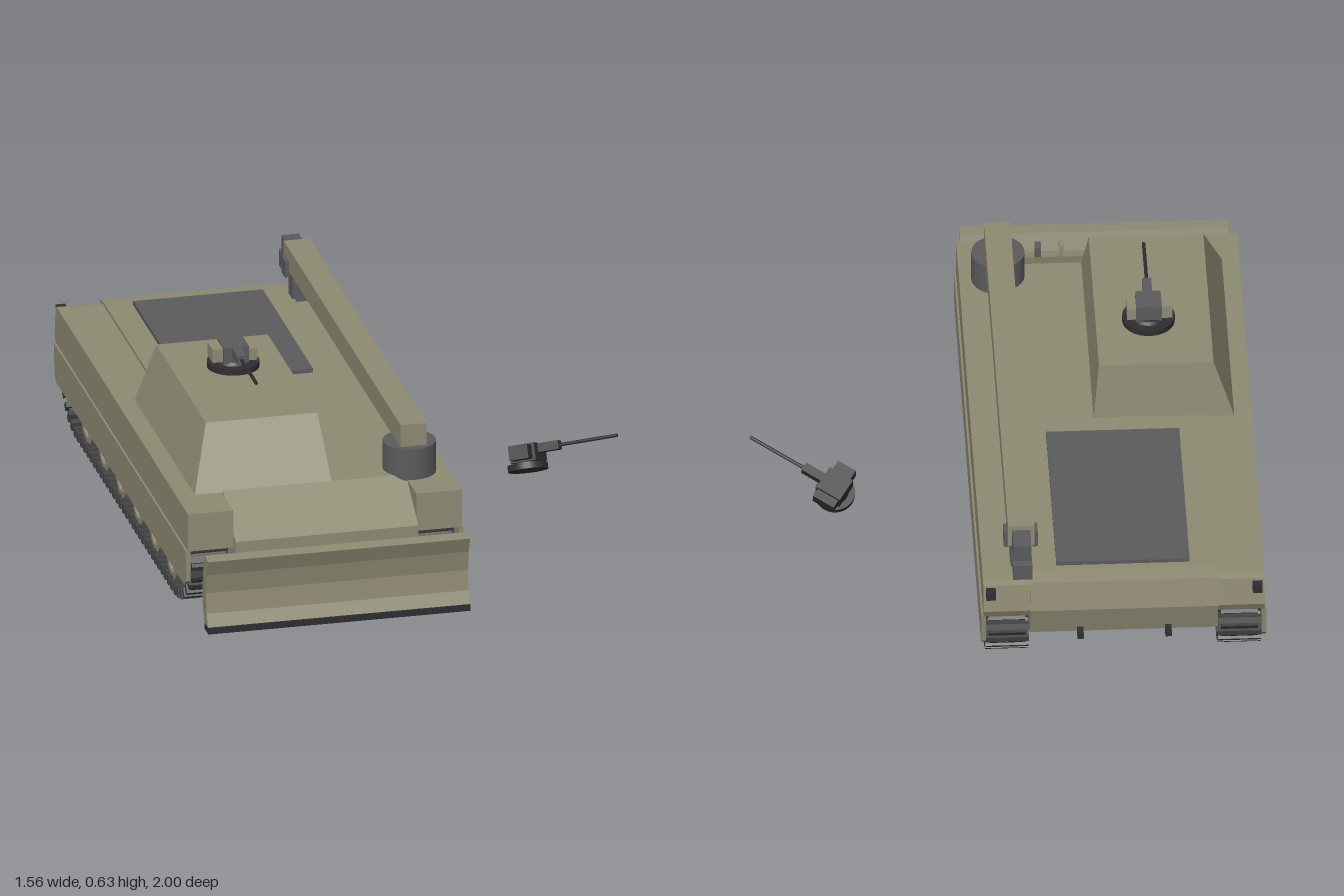
import * as THREE from 'three';
import { mergeGeometries } from 'three/addons/utils/BufferGeometryUtils.js';

const paint = (name, color) => Object.assign(new THREE.MeshStandardMaterial({ color }), { name });

export function createModel() {
  const olive = paint('olive', 0x8e8a73);
  const grey = paint('grey', 0x5b5b5e);
  const trackGrey = paint('track grey', 0x454547);
  const dark = paint('dark metal', 0x2e2e30);

  const model = new THREE.Group();
  const vehicle = new THREE.Group();
  vehicle.name = 'vehicle';
  vehicle.position.x = -0.337;
  model.add(vehicle);

  const add = (parent, name, geometry, material) => {
    const mesh = new THREE.Mesh(geometry, material);
    mesh.name = name;
    parent.add(mesh);
    return mesh;
  };
  // box from its limits
  const span = (x0, x1, y0, y1, z0, z1) =>
    new THREE.BoxGeometry(x1 - x0, y1 - y0, z1 - z0).translate((x0 + x1) / 2, (y0 + y1) / 2, (z0 + z1) / 2);
  // side profile of [z, y] points, extruded from x0 to x1
  const profile = (points, x0, x1) =>
    new THREE.ExtrudeGeometry(new THREE.Shape(points.map(p => new THREE.Vector2(...p))), { depth: x1 - x0, bevelEnabled: false })
      .rotateY(-Math.PI / 2).translate(x1, 0, 0);
  const axle = (r, width, sides = 24) => new THREE.CylinderGeometry(r, r, width, sides).rotateZ(Math.PI / 2);
  // round bar between two points
  const bar = (a, b, r) => {
    const A = new THREE.Vector3(...a), d = new THREE.Vector3(...b).sub(A);
    const q = new THREE.Quaternion().setFromUnitVectors(new THREE.Vector3(0, 1, 0), d.clone().normalize());
    return new THREE.CylinderGeometry(r, r, d.length(), 12).applyQuaternion(q).translate(...A.addScaledVector(d, 0.5).toArray());
  };

  // Hull with sloped nose and tail
  add(vehicle, 'hull', profile([[0.67, 0.37], [0.84, 0.265], [0.84, 0.225], [0.72, 0.09], [-0.83, 0.09],
    [-0.955, 0.17], [-0.98, 0.27], [-0.96, 0.365], [-0.9, 0.37]], -0.2925, 0.2925), olive);
  add(vehicle, 'engineDeck', span(-0.208, 0.207, 0.365, 0.383, -0.88, -0.21), grey);
  for (const x of [-0.137, 0.137]) add(vehicle, 'towHook', span(x - 0.01, x + 0.01, 0.172, 0.19, -1, -0.94), dark);

  // Running gear, one set on each side
  const loop = [[0.61, 0.018], [-0.77, 0.018], [-0.85, 0.045], [-0.905, 0.1], [-0.922, 0.16], [-0.885, 0.205], [-0.8, 0.222],
    [0.68, 0.222], [0.76, 0.2], [0.792, 0.15], [0.77, 0.1], [0.69, 0.04], [0.61, 0.018]];
  const path = new THREE.CurvePath();
  loop.slice(1).forEach((p, i) => path.add(new THREE.LineCurve(new THREE.Vector2(...loop[i]), new THREE.Vector2(...p))));
  const links = path.getSpacedPoints(84);
  const bands = [], pads = [];
  links.slice(1).forEach((p, i) => {
    const q = links[i], d = p.clone().sub(q), length = d.length();
    const place = g => g.rotateX(-Math.atan2(d.y, d.x)).translate(0, (p.y + q.y) / 2, (p.x + q.x) / 2);
    bands.push(place(new THREE.BoxGeometry(0.115, 0.012, length * 1.05)));
    pads.push(place(new THREE.BoxGeometry(0.134, 0.03, length * 0.5)));
  });
  const bandGeometry = mergeGeometries(bands), padGeometry = mergeGeometries(pads);

  const wheel = (parent, name, side, z, y, r) => {
    const group = new THREE.Group();
    group.name = name;
    group.position.set(side * 0.365, y, z);
    parent.add(group);
    add(group, 'innerDisc', axle(r * 0.8, 0.08), dark);
    const ring = new THREE.Shape().absarc(0, 0, r, 0, Math.PI * 2);
    ring.holes.push(new THREE.Path().absarc(0, 0, r * 0.72, 0, Math.PI * 2, true));
    add(group, 'rim', new THREE.ExtrudeGeometry(ring, { depth: 0.1, bevelEnabled: false, curveSegments: 20 })
      .translate(0, 0, -0.05).rotateY(Math.PI / 2), olive);
    const spokes = [axle(r * 0.4, 0.108, 16)];
    for (let i = 0; i < 6; i++)
      spokes.push(new THREE.BoxGeometry(0.09, r * 0.62, r * 0.2).translate(0, r * 0.45, 0).rotateX(i * Math.PI / 3));
    add(group, 'hubAndSpokes', mergeGeometries(spokes), olive);
  };

  for (const side of [-1, 1]) {
    const label = side > 0 ? 'left' : 'right';
    const both = (a, b) => side > 0 ? [a, b] : [-b, -a];
    const gear = new THREE.Group();
    gear.name = label + 'RunningGear';
    vehicle.add(gear);
    add(gear, 'sponson', profile([[0.81, 0.36], [0.81, 0.235], [-0.955, 0.235], [-0.97, 0.265], [-0.955, 0.355], [-0.93, 0.36]],
      ...both(0.2925, 0.438)), olive);
    add(gear, 'skirt', profile([[0.808, 0.236], [0.808, 0.135], [0.785, 0.115], [-0.925, 0.115], [-0.945, 0.135], [-0.955, 0.236]],
      ...both(0.43, 0.444)), olive);
    const x = side * 0.415;
    add(gear, 'tailLight', span(x - 0.015, x + 0.015, 0.322, 0.35, -0.988, -0.96), dark);
    for (const [name, geometry] of [['trackBand', bandGeometry], ['trackPads', padGeometry]])
      add(gear, name, geometry, name === 'trackPads' ? trackGrey : dark).position.x = side * 0.362;
    for (let i = 0; i < 6; i++) wheel(gear, 'roadWheel', side, 0.5 - i * 0.227, 0.098, 0.074);
    wheel(gear, 'idlerWheel', side, 0.67, 0.147, 0.072);
    wheel(gear, 'driveSprocket', side, -0.81, 0.142, 0.075);
    const teeth = [];
    for (let i = 0; i < 12; i++)
      teeth.push(new THREE.BoxGeometry(0.09, 0.025, 0.014).translate(0, 0.077, 0).rotateX(i * Math.PI / 6));
    add(gear, 'sprocketTeeth', mergeGeometries(teeth), olive).position.set(side * 0.365, 0.142, -0.81);
  }

  // Cabin: a box whose top corners are drawn in
  const cabin = new THREE.BoxGeometry(1, 1, 1);
  const pos = cabin.attributes.position;
  for (let i = 0; i < pos.count; i++) {
    const top = pos.getY(i) > 0, left = pos.getX(i) > 0, front = pos.getZ(i) > 0;
    pos.setXYZ(i, left ? (top ? 0.037 : 0.055) : (top ? -0.32 : -0.383), top ? 0.556 : 0.366,
      front ? (top ? 0.555 : 0.672) : (top ? -0.105 : -0.13));
  }
  cabin.computeVertexNormals();
  add(vehicle, 'cabin', cabin, olive);

  // Crane
  const crane = new THREE.Group();
  crane.name = 'crane';
  crane.position.x = 0.317;
  vehicle.add(crane);
  add(crane, 'craneBase', new THREE.CylinderGeometry(0.083, 0.083, 0.105, 40).translate(0, 0.41, 0.615), grey);
  add(crane, 'boom', span(-0.041, 0.041, 0.46, 0.536, -0.89, 0.67), olive);
  add(crane, 'boomRam', bar([0, 0.42, 0.56], [0, 0.465, 0.31], 0.016), grey);
  add(crane, 'boomTip', span(-0.028, 0.028, 0.462, 0.52, -0.975, -0.88), grey);
  add(crane, 'hookBlock', span(-0.03, 0.03, 0.41, 0.464, -1, -0.947), grey);
  add(crane, 'boomRest', span(-0.032, 0.032, 0.36, 0.46, -0.865, -0.81), grey);
  for (const x of [-0.045, 0.045])
    add(crane, 'restCheek', span(x - 0.008, x + 0.008, 0.44, 0.495, -0.87, -0.82), grey);

  // Dozer blade and its linkage
  const blade = new THREE.Group();
  blade.name = 'dozerBlade';
  vehicle.add(blade);
  add(blade, 'bladePlate', profile([[0.998, 0.272], [0.978, 0.22], [0.967, 0.155], [0.976, 0.09], [0.995, 0.045],
    [0.95, 0.045], [0.925, 0.09], [0.92, 0.155], [0.93, 0.22], [0.95, 0.275]], -0.418, 0.42), olive);
  add(blade, 'cuttingEdge', span(-0.418, 0.42, 0.03, 0.05, 0.945, 1), dark);
  for (let i = 0; i < 4; i++) {
    const x = -0.315 + i * 0.21;
    add(blade, 'bladeRib', span(x - 0.007, x + 0.007, 0.06, 0.255, 0.91, 0.945), olive);
  }
  for (const s of [-1, 1]) {
    add(blade, 'pushArm', span(s * 0.247 - 0.018, s * 0.247 + 0.018, 0.09, 0.125, 0.7, 0.925), grey);
    add(blade, 'liftRam', bar([s * 0.178, 0.21, 0.79], [s * 0.178, 0.19, 0.93], 0.013), grey);
    add(blade, 'armBracket', span(s * 0.178 - 0.01, s * 0.178 + 0.01, 0.1, 0.25, 0.905, 0.945), grey);
  }

  // Gun mount, origin at its base, aiming at +z
  const gunMount = (name, r, body, pod) => {
    const gun = new THREE.Group();
    gun.name = name;
    add(gun, 'turntable', new THREE.CylinderGeometry(r, r, 0.02, 32).translate(0, 0.01, 0), dark);
    add(gun, 'pedestal', new THREE.CylinderGeometry(r * 0.6, r * 0.7, 0.012, 24).translate(0, 0.024, 0), dark);
    add(gun, 'gunBody', span(-0.04, 0.04, 0.025, 0.08, -0.04, 0.045), body);
    add(gun, 'leftPod', span(0.04, 0.068, 0.03, 0.07, -0.035, 0.04), pod);
    add(gun, 'rightPod', span(-0.074, -0.04, 0.03, 0.074, -0.03, 0.035), pod);
    add(gun, 'receiver', span(-0.014, 0.014, 0.05, 0.078, 0.04, 0.115), body);
    add(gun, 'barrel', bar([0, 0.064, 0.1], [0, 0.064, 0.31], 0.0055), dark);
    return gun;
  };
  const roofGun = gunMount('roofGun', 0.082, grey, olive);
  roofGun.position.set(-0.128, 0.556, 0.12);
  vehicle.add(roofGun);

  // Detached gun mount, tilted beside the vehicle
  const spareGun = gunMount('spareGun', 0.063, dark, dark);
  const up = new THREE.Vector3(0, 0.868, -0.497).normalize();
  const aim = new THREE.Vector3(0.83, 0.277, 0.484).normalize();
  const side = up.clone().cross(aim).normalize();
  spareGun.quaternion.setFromRotationMatrix(new THREE.Matrix4().makeBasis(side, up, side.clone().cross(up)));
  spareGun.position.set(0.52, 0.042, -0.05);
  model.add(spareGun);

  return model;
}
